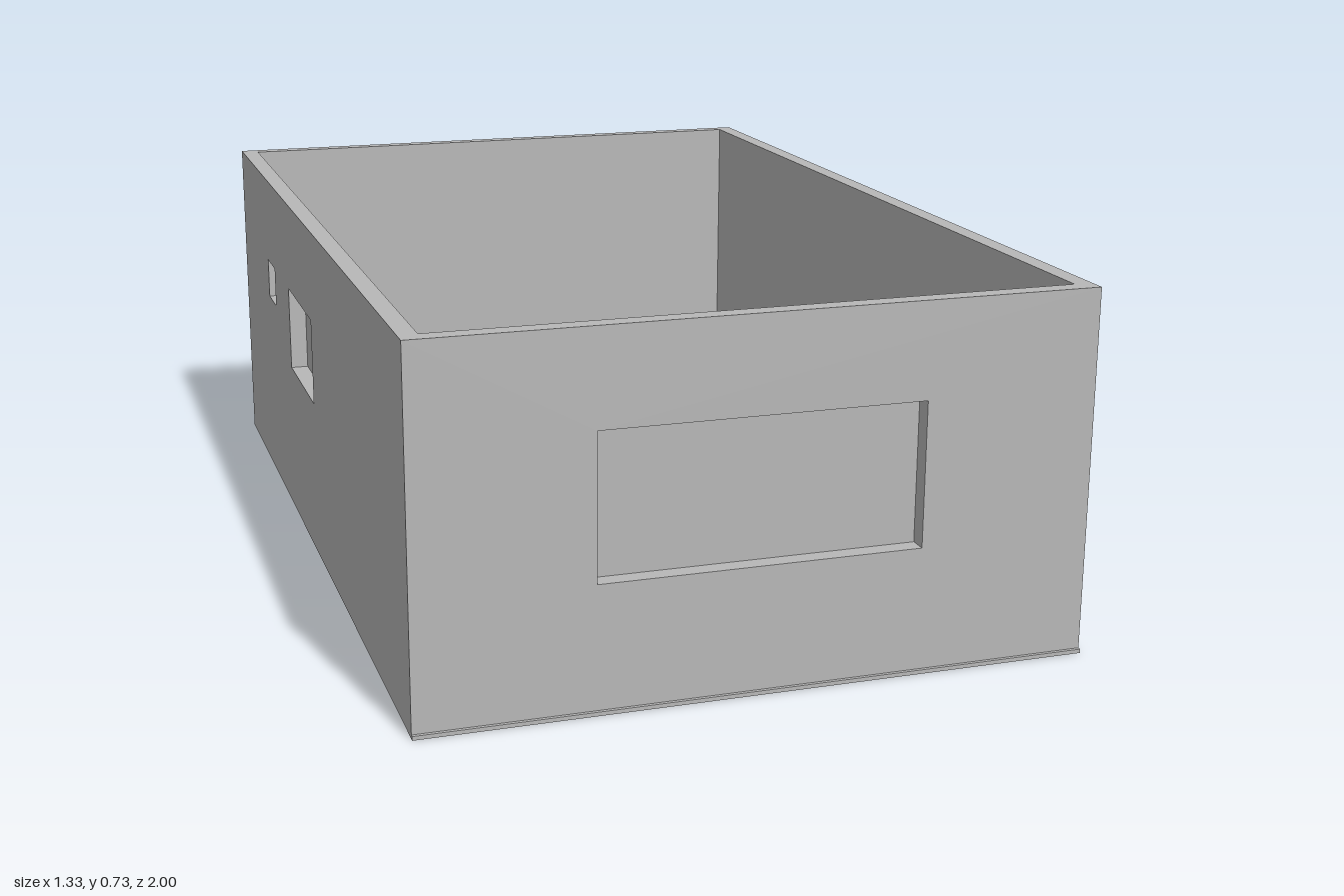
import * as THREE from 'three';

const W = 0.664, H = 0.732;              // half width, height
const INNER_X = 0.627;                   // inside face of the side walls
const BACK = -1, BACK_IN = -0.97, FRONT_IN = 0.957, FRONT = 0.993;
const PLATE = 0.004, MARGIN = 0.01;      // cover panels overlap their openings

// Openings as [u0, u1, y0, y1], with u along the wall
const frontOpening = [-0.318, 0.318, 0.253, 0.541];
const sideOpenings = {
  large: [-0.281, 0.025, 0.347, 0.533],
  small: [-0.596, -0.492, 0.443, 0.533],
};

function rect(path, [u0, u1, y0, y1]) {
  path.moveTo(u0, y0);
  path.lineTo(u1, y0);
  path.lineTo(u1, y1);
  path.lineTo(u0, y1);
  path.closePath();
  return path;
}

// Upright slab in the XY plane, with rectangular holes cut through it
function slab(outline, depth, holes = []) {
  const shape = rect(new THREE.Shape(), outline);
  shape.holes = holes.map((h) => rect(new THREE.Path(), h));
  return new THREE.ExtrudeGeometry(shape, { depth, bevelEnabled: false });
}

const grow = ([a, b, c, d]) => [a - MARGIN, b + MARGIN, c - MARGIN, d + MARGIN];

export function createModel() {
  const group = new THREE.Group();
  const grey = new THREE.MeshStandardMaterial({ color: 0xb8b8b8 });
  grey.name = 'plain grey';

  function add(name, geometry, x, z) {
    const mesh = new THREE.Mesh(geometry, grey);
    mesh.name = name;
    mesh.position.set(x, 0, z);
    group.add(mesh);
  }
  // Turned so u runs along z and the depth goes towards -x
  const sideways = (geometry) => geometry.rotateY(-Math.PI / 2);

  // Walls of the open frame
  add('frontWall', slab([-W, W, 0, H], FRONT - FRONT_IN, [frontOpening]), 0, FRONT_IN);
  add('backWall', slab([-W, W, 0, H], BACK_IN - BACK), 0, BACK);
  const side = [BACK_IN, FRONT_IN, 0, H];
  add('leftWall', sideways(slab(side, W - INNER_X)), W, 0);
  add('rightWall', sideways(slab(side, W - INNER_X, Object.values(sideOpenings))), -INNER_X, 0);

  // Thin panels closing the openings from inside
  add('frontPanel', slab(grow(frontOpening), PLATE), 0, FRONT_IN - PLATE);
  for (const [size, opening] of Object.entries(sideOpenings)) {
    add(size + 'SidePanel', sideways(slab(grow(opening), PLATE)), -INNER_X + PLATE, 0);
  }

  // Narrow lip along the foot of the front wall
  add('frontLip', slab([-W, W, 0, 0.008], 1 - FRONT), 0, FRONT);

  return group;
}
